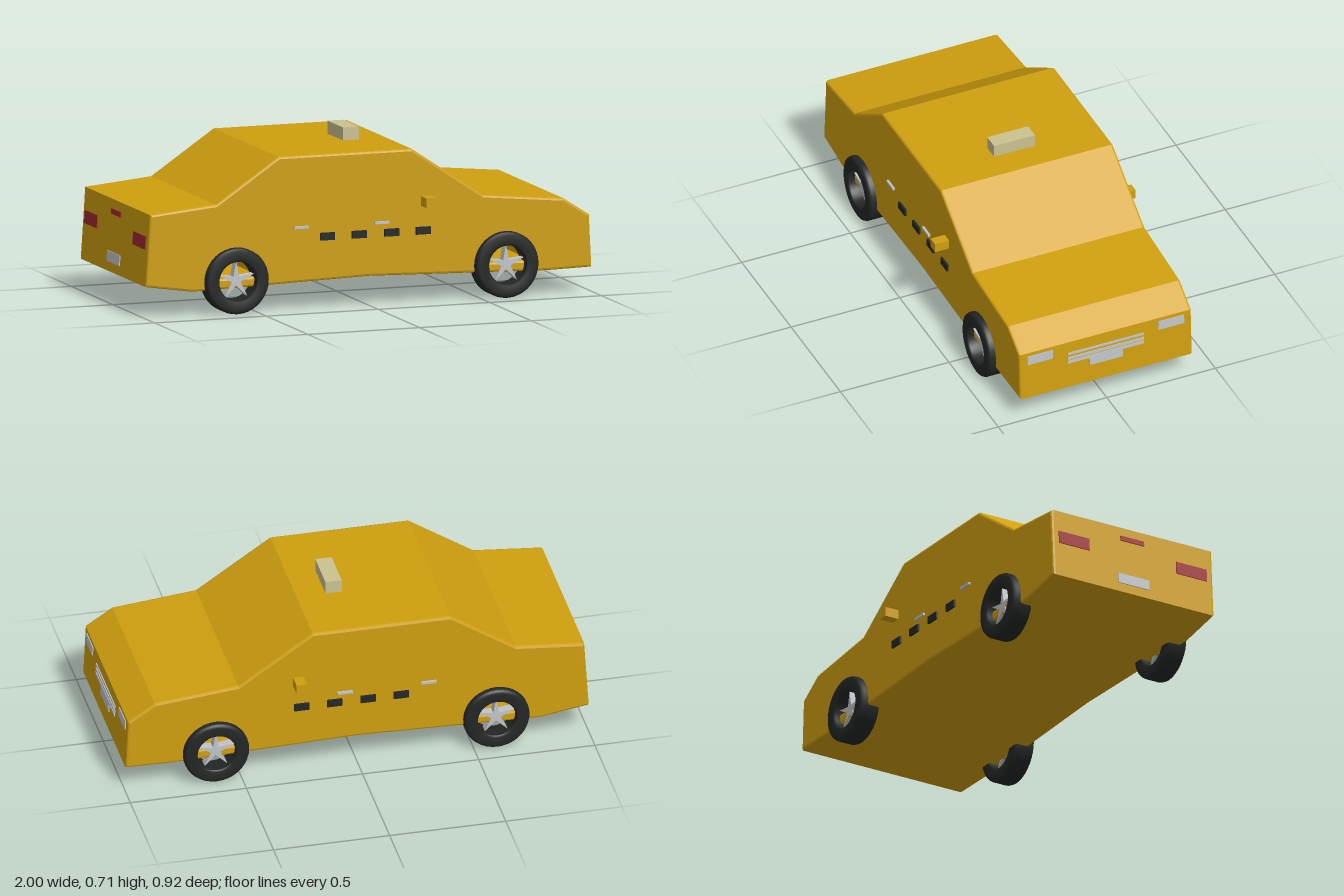
import * as THREE from 'three';

const mat = (name, color) => {
  const m = new THREE.MeshStandardMaterial({ color });
  m.name = name;
  return m;
};

export function createModel() {
  const car = new THREE.Group();
  car.name = 'taxi';
  const paint = mat('yellow paint', 0xcf9f0f);
  const rubber = mat('black rubber', 0x242626);
  const silver = mat('silver', 0xc0c4ca);
  const red = mat('tail light red', 0xa02a30);
  const cream = mat('cream sign', 0xcbc290);

  const add = (name, geometry, material, x = 0, y = 0, z = 0, parent = car) => {
    const mesh = new THREE.Mesh(geometry, material);
    mesh.name = name;
    mesh.position.set(x, y, z);
    parent.add(mesh);
    return mesh;
  };
  // Box given by its limits on each axis
  const box = (name, material, x0, x1, y0, y1, z0, z1) =>
    add(name, new THREE.BoxGeometry(x1 - x0, y1 - y0, z1 - z0), material,
      (x0 + x1) / 2, (y0 + y1) / 2, (z0 + z1) / 2);

  const wheelX = [-0.598, 0.609];
  const wheelY = 0.141;
  const halfWidth = 0.397;

  // Body: side profile with wheel arches cut right through, softly bevelled
  const profile = [
    [-1, 0.135], [-0.79, 0.103], [0, 0.125], [0.8, 0.103], [0.996, 0.107],
    [0.985, 0.33], [0.87, 0.405], [0.51, 0.44], [0.19, 0.655],
    [-0.405, 0.655], [-0.685, 0.468], [-0.98, 0.44],
  ];
  const side = new THREE.Shape(profile.map(([x, y]) => new THREE.Vector2(x, y)));
  for (const x of wheelX) {
    const arch = new THREE.Path();
    arch.absarc(x, 0.152, 0.115, 0, Math.PI, false);
    arch.closePath();
    side.holes.push(arch);
  }
  const bevel = 0.01;
  const bodyGeometry = new THREE.ExtrudeGeometry(side, {
    depth: 2 * (halfWidth - bevel), curveSegments: 16, bevelEnabled: true,
    bevelSize: bevel, bevelThickness: bevel, bevelOffset: -bevel, bevelSegments: 2,
  });
  bodyGeometry.translate(0, 0, -(halfWidth - bevel));
  add('body', bodyGeometry, paint);

  // Tyre: rounded ring turned about its axle
  const tyreProfile = [
    [0.083, -0.04], [0.09, -0.047], [0.127, -0.047], [0.137, -0.042], [0.141, -0.032],
    [0.141, 0.032], [0.137, 0.042], [0.127, 0.047], [0.09, 0.047], [0.083, 0.04], [0.083, -0.04],
  ].map(([r, y]) => new THREE.Vector2(r, y));
  const tyreGeometry = new THREE.LatheGeometry(tyreProfile, 36);
  tyreGeometry.rotateX(Math.PI / 2);

  // Five pointed spokes
  const star = new THREE.Shape();
  for (let i = 0; i < 10; i++) {
    const r = i % 2 ? 0.021 : 0.085;
    const a = Math.PI / 2 + (i * Math.PI) / 5;
    star[i ? 'lineTo' : 'moveTo'](r * Math.cos(a), r * Math.sin(a));
  }
  star.closePath();
  const spokeGeometry = new THREE.ExtrudeGeometry(star, { depth: 0.04, bevelEnabled: false });
  spokeGeometry.translate(0, 0, -0.02);

  for (const x of wheelX) {
    for (const s of [1, -1]) {
      const wheel = new THREE.Group();
      wheel.name = `${x > 0 ? 'front' : 'rear'}Wheel`;
      wheel.position.set(x, wheelY, s * 0.382);
      add('tyre', tyreGeometry, rubber, 0, 0, 0, wheel);
      add('spokes', spokeGeometry, silver, 0, 0, 0, wheel);
      car.add(wheel);
    }
  }

  // Roof sign
  box('roofSign', cream, -0.005, 0.065, 0.645, 0.71, -0.094, 0.094);

  // Side details on both flanks
  for (const s of [1, -1]) {
    const flank = (name, material, x0, x1, y0, y1, out) => {
      const inner = halfWidth - 0.004;
      add(name, new THREE.BoxGeometry(x1 - x0, y1 - y0, out - inner), material,
        (x0 + x1) / 2, (y0 + y1) / 2, (s * (inner + out)) / 2);
    };
    flank('sideMirror', paint, 0.23, 0.275, 0.411, 0.452, 0.462);
    for (const x of [-0.34, 0.02]) flank('doorHandle', silver, x, x + 0.065, 0.345, 0.356, 0.407);
    for (const x of [-0.222, -0.08, 0.065, 0.206]) flank('sideCheck', rubber, x, x + 0.065, 0.29, 0.322, 0.406);
  }

  // Thin plates lying on the sloping nose and tail faces
  const plate = (name, material, front, y0, y1, z0, z1) => {
    const [lo, hi] = front ? [profile[4], profile[5]] : [profile[0], profile[11]];
    const slope = (hi[0] - lo[0]) / (hi[1] - lo[1]);
    const y = (y0 + y1) / 2;
    const mesh = add(name, new THREE.BoxGeometry(0.008, y1 - y0, z1 - z0), material,
      lo[0] + slope * (y - lo[1]), y, (z0 + z1) / 2);
    mesh.rotation.z = -Math.atan(slope);
  };
  for (const s of [1, -1]) {
    const span = (a, b) => (s > 0 ? [a, b] : [-b, -a]);
    plate('headlight', silver, true, 0.273, 0.314, ...span(0.243, 0.361));
    plate('tailLight', red, false, 0.29, 0.345, ...span(0.215, 0.365));
  }
  for (const [y0, y1] of [[0.268, 0.278], [0.244, 0.257], [0.226, 0.238]]) {
    plate('grilleBar', silver, true, y0, y1, -0.175, 0.175);
  }
  plate('frontPlate', silver, true, 0.19, 0.226, -0.076, 0.076);
  plate('rearPlate', silver, false, 0.175, 0.22, -0.076, 0.076);
  plate('brakeLight', red, false, 0.378, 0.4, -0.058, 0.058);

  return car;
}
